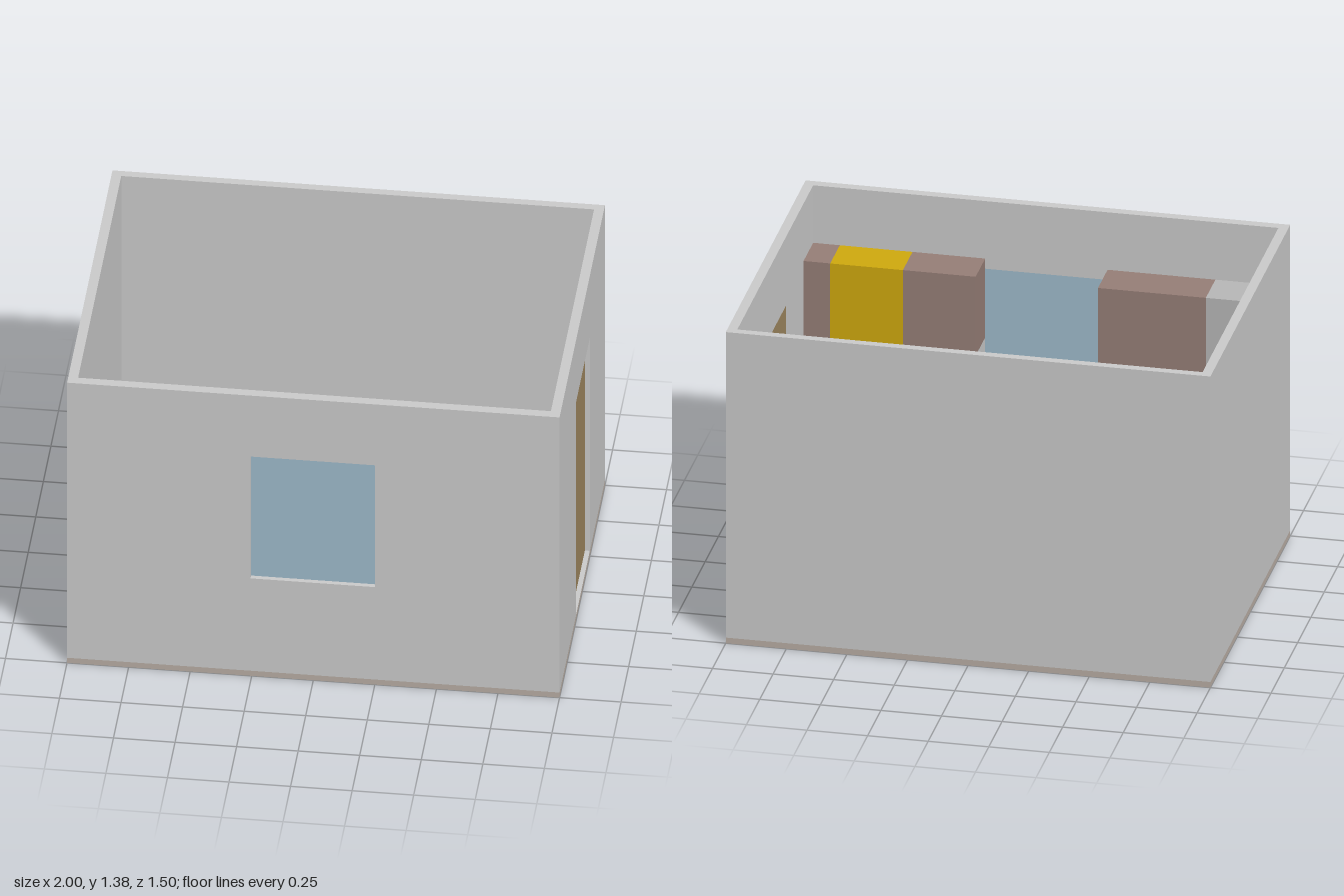
import * as THREE from 'three';

const mat = (color) => new THREE.MeshStandardMaterial({ color });
const WALL = mat(0xcccccc), FLOOR = mat(0xb9aea5), GLASS = mat(0x9fbccc), DOOR = mat(0x9e865f);
const BROWN = mat(0x977f77), BLUE = mat(0x55a5cf), YELLOW = mat(0xd0aa0e);
const PURPLE = mat(0xa55cb0), GREY = mat(0xb8b8b8);

// room limits
const FLOOR_Y = 0.025, TOP = 1.38, IN_X = 0.96, FRONT_Z = 0.71, BACK_Z = -0.715;

export function createModel() {
  const room = new THREE.Group();
  room.name = 'kitchenRoom';

  // box given by its min and max corners
  const box = (name, material, [x0, y0, z0], [x1, y1, z1], parent = room) => {
    const mesh = new THREE.Mesh(new THREE.BoxGeometry(x1 - x0, y1 - y0, z1 - z0), material);
    mesh.position.set((x0 + x1) / 2, (y0 + y1) / 2, (z0 + z1) / 2);
    mesh.name = name;
    parent.add(mesh);
    return mesh;
  };
  const rect = (Type, x0, y0, x1, y1) => {
    const path = new Type();
    path.moveTo(x0, y0).lineTo(x1, y0).lineTo(x1, y1).lineTo(x0, y1).closePath();
    return path;
  };
  // wall with an opening, extruded outwards
  const openWall = (name, shape, opening) => {
    shape.holes.push(opening);
    const geo = new THREE.ExtrudeGeometry(shape, { depth: 0.04, bevelEnabled: false });
    const mesh = new THREE.Mesh(geo, WALL);
    mesh.name = name;
    room.add(mesh);
    return mesh;
  };

  // floor and plain walls
  box('floor', FLOOR, [-1, 0, -0.75], [1, FLOOR_Y, 0.75]);
  box('backWall', WALL, [-1, FLOOR_Y, -0.75], [1, TOP, BACK_Z]);
  box('rightWall', WALL, [-1, FLOOR_Y, BACK_Z], [-IN_X, TOP, FRONT_Z]);

  // front wall with the window
  openWall('frontWall', rect(THREE.Shape, -1, FLOOR_Y, 1, TOP),
    rect(THREE.Path, -0.255, 0.48, 0.25, 1.08)).position.z = FRONT_Z;
  box('windowPane', GLASS, [-0.255, 0.48, FRONT_Z], [0.25, 1.08, 0.73]);

  // side wall with the door; its opening starts just above the floor
  const doorWall = openWall('leftWall', rect(THREE.Shape, -FRONT_Z, FLOOR_Y, -BACK_Z, TOP),
    rect(THREE.Path, -0.2, FLOOR_Y + 0.001, 0.25, 1.075));
  doorWall.rotation.y = Math.PI / 2;
  doorWall.position.x = IN_X;
  box('door', DOOR, [IN_X, FLOOR_Y, -0.25], [0.98, 1.075, 0.2]);

  // cabinet runs along the front wall: boundaries in x and one colour per unit
  const run = (name, xs, materials, y0, y1, z0) => {
    const group = new THREE.Group();
    group.name = name;
    materials.forEach((m, i) =>
      box('cabinetUnit', m, [xs[i], y0, z0], [xs[i + 1], y1, FRONT_Z], group));
    room.add(group);
  };
  const leftXs = [0.25, 0.55, 0.85, IN_X], rightXs = [-IN_X, -0.7, -0.4, -0.255];
  run('leftBaseCabinets', leftXs, [BLUE, YELLOW, BROWN], FLOOR_Y, 0.475, 0.405);
  run('leftWallCabinets', leftXs, [BROWN, YELLOW, BROWN], 0.775, 1.125, 0.53);
  run('rightBaseCabinets', rightXs, [PURPLE, BLUE, BROWN], FLOOR_Y, 0.475, 0.405);
  run('rightWallCabinets', rightXs, [GREY, BROWN, BROWN], 0.775, 1.125, 0.53);

  return room;
}
